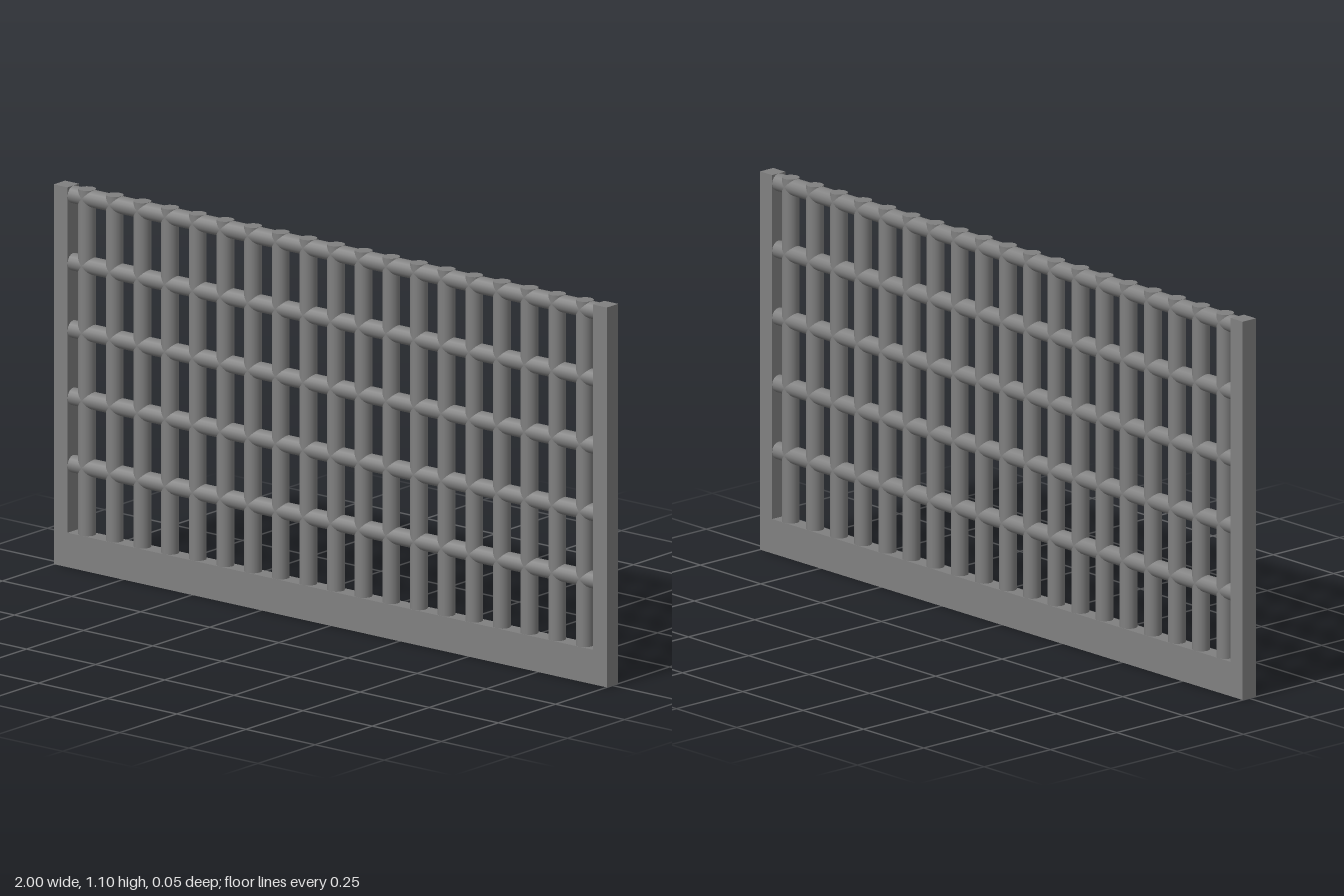
import * as THREE from 'three';

const HALF_W = 1, HEIGHT = 1.1, DEPTH = 0.05, POST = 0.05, BASE = 0.1, BAR_R = 0.025;

export function createModel() {
  const model = new THREE.Group();
  model.name = 'barredPanel';
  const material = new THREE.MeshStandardMaterial({ color: 0x808080 });

  const add = (name, geometry, x, y) => {
    const mesh = new THREE.Mesh(geometry, material);
    mesh.name = name;
    mesh.position.set(x, y, 0);
    model.add(mesh);
  };

  // Smooth round bar
  const bar = (length) => new THREE.CylinderGeometry(BAR_R, BAR_R, length, 16);

  // Base rail between the two side posts
  add('baseRail', new THREE.BoxGeometry(2 * (HALF_W - POST), BASE, DEPTH), 0, BASE / 2);
  for (const side of [-1, 1]) {
    add(side > 0 ? 'leftPost' : 'rightPost',
      new THREE.BoxGeometry(POST, HEIGHT, DEPTH), side * (HALF_W - POST / 2), HEIGHT / 2);
  }

  // Upright bars, standing on the base rail
  const upright = bar(HEIGHT - BASE);
  for (let i = -9; i <= 9; i++) add('uprightBar', upright, i * 0.1, (HEIGHT + BASE) / 2);

  // Cross bars, the highest one level with the post tops
  const cross = bar(2 * (HALF_W - POST)).rotateZ(Math.PI / 2);
  for (let i = 0; i < 5; i++) add('crossBar', cross, 0, 0.295 + i * 0.195);

  return model;
}
